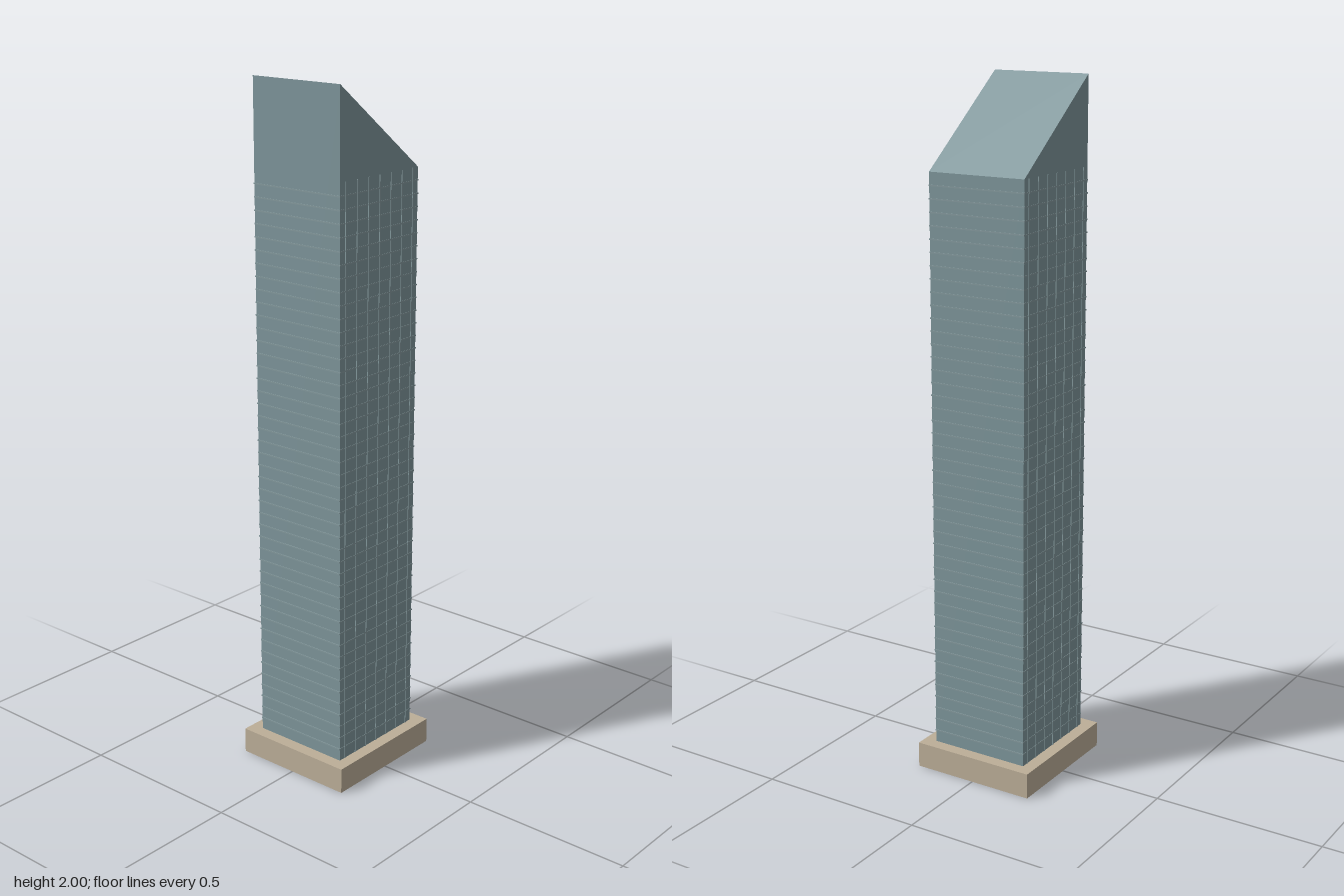
import * as THREE from 'three';

const HALF_X = 0.163, HALF_Z = 0.151; // tower half width and depth
const BASE_H = 0.075, EAVE = 1.75, PEAK = 2;
const FLOORS = 46, BAYS = 7, BAY = 0.047;

export function createModel() {
  const model = new THREE.Group();
  model.name = 'skyscraper';
  const stone = new THREE.MeshStandardMaterial({ color: 0xbcae98 });
  const glass = new THREE.MeshStandardMaterial({ color: 0x7d959a });
  const trim = new THREE.MeshStandardMaterial({ color: 0x84999d });

  function add(name, geometry, material, parent, x, y, z) {
    const mesh = new THREE.Mesh(geometry, material);
    mesh.name = name;
    mesh.position.set(x, y, z);
    parent.add(mesh);
  }

  // Podium
  add('podium', new THREE.BoxGeometry(0.4, BASE_H, 0.376), stone, model, 0, BASE_H / 2, 0);

  // Glass shaft with a single sloping roof, higher on the -x side
  const profile = new THREE.Shape([
    new THREE.Vector2(-HALF_X, BASE_H),
    new THREE.Vector2(HALF_X, BASE_H),
    new THREE.Vector2(HALF_X, EAVE),
    new THREE.Vector2(-HALF_X, PEAK),
  ]);
  const shaft = new THREE.ExtrudeGeometry(profile, { depth: HALF_Z * 2, bevelEnabled: false });
  add('towerShaft', shaft, glass, model, 0, 0, -HALF_Z);

  // Thin floor bands wrapping the shaft
  const bands = new THREE.Group();
  bands.name = 'floorBands';
  model.add(bands);
  const floorH = (EAVE - BASE_H) / FLOORS;
  const band = new THREE.BoxGeometry(HALF_X * 2 + 0.004, 0.004, HALF_Z * 2 + 0.002);
  for (let i = 1; i < FLOORS; i++) {
    add('floorBand', band, trim, bands, 0, BASE_H + i * floorH, 0);
  }

  // Vertical mullions on the front and back
  const mullions = new THREE.Group();
  mullions.name = 'mullions';
  model.add(mullions);
  const mullion = new THREE.BoxGeometry(0.003, EAVE - BASE_H, 0.004);
  for (const side of [-1, 1]) {
    for (let i = 0; i < BAYS; i++) {
      const x = (i - (BAYS - 1) / 2) * BAY;
      add('mullion', mullion, trim, mullions, x, (EAVE + BASE_H) / 2, side * HALF_Z);
    }
  }

  return model;
}
